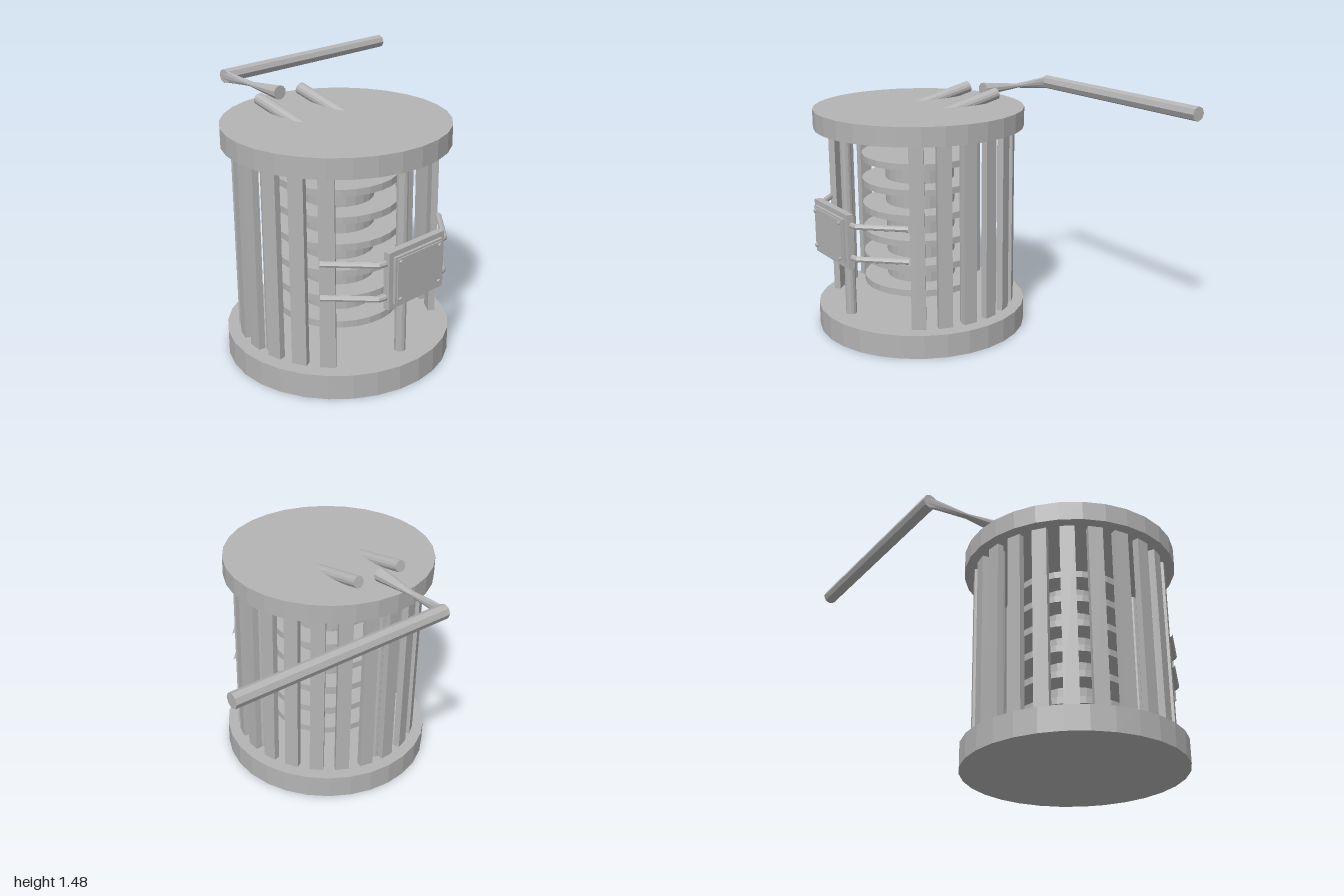
import * as THREE from 'three';

const CX = -0.35, CZ = 0.19; // cage axis

export function createModel() {
  const model = new THREE.Group();
  const grey = new THREE.MeshStandardMaterial({ color: 0xb4b4b4 });
  grey.flatShading = true;

  const add = (name, geometry, x = 0, y = 0, z = 0, parent = model) => {
    const mesh = new THREE.Mesh(geometry, grey);
    mesh.name = name;
    mesh.position.set(x, y, z);
    parent.add(mesh);
    return mesh;
  };
  const drum = (name, r, y0, y1, sides, x = CX, z = CZ) =>
    add(name, new THREE.CylinderGeometry(r, r, y1 - y0, sides), x, (y0 + y1) / 2, z);

  // Base and lid
  drum('base', 0.652, 0, 0.145, 30);
  drum('lid', 0.642, 1.265, 1.38, 30);

  // Central core with six discs
  drum('core', 0.213, 0.255, 1.09, 24);
  for (let i = 0; i < 6; i++) {
    const y = 0.295 + i * 0.157;
    drum('coreDisc', 0.357, y - 0.02, y + 0.02, 28);
  }

  // Four round posts between base and lid
  for (let i = 0; i < 4; i++) {
    const a = i * Math.PI / 2;
    drum('post', 0.033, 0.14, 1.27, 12, CX + 0.507 * Math.sin(a), CZ + 0.507 * Math.cos(a));
  }

  // Flat cage bars, leaving the front open
  const barGeometry = new THREE.BoxGeometry(0.086, 1.105, 0.04);
  for (let i = 0; i < 17; i++) {
    const a = THREE.MathUtils.degToRad(123 - i * 15.9); // measured from the back
    const bar = add('cageBar', barGeometry, CX + 0.563 * Math.sin(a), 0.7075, CZ - 0.563 * Math.cos(a));
    bar.rotation.y = -a;
  }

  // Front panel with a raised plate and corner rivets
  const panel = new THREE.Group();
  panel.name = 'frontPanel';
  panel.position.set(CX, 0.675, 0);
  model.add(panel);
  add('panelBack', new THREE.BoxGeometry(0.427, 0.33, 0.04), 0, 0, 0.79, panel);
  add('panelPlate', new THREE.BoxGeometry(0.364, 0.272, 0.016), 0, 0, 0.818, panel);
  add('panelFace', new THREE.BoxGeometry(0.34, 0.25, 0.008), 0, 0, 0.829, panel);
  for (const sx of [-1, 1]) {
    for (const sy of [-1, 1]) {
      const rivet = add('rivet', new THREE.CylinderGeometry(0.011, 0.011, 0.014, 10), sx * 0.152, sy * 0.108, 0.838, panel);
      rivet.rotation.x = Math.PI / 2;
    }
  }

  // Bent rods holding the panel to the cage
  const corners = [[-0.465, 0.55], [-0.25, 0.782], [0.25, 0.782], [0.465, 0.55]];
  for (const y of [0.777, 0.58]) {
    const path = new THREE.CurvePath();
    for (let i = 0; i < 3; i++) {
      const [p, q] = [corners[i], corners[i + 1]].map(c => new THREE.Vector3(CX + c[0], y, c[1]));
      path.add(new THREE.LineCurve3(p, q));
    }
    add('panelRod', new THREE.TubeGeometry(path, 40, 0.018, 8));
  }

  // Two slanted pegs half sunk in the lid
  const from = new THREE.Vector3(0, 1.305, 0.28), to = new THREE.Vector3(0, 1.432, -0.28);
  const along = to.clone().sub(from);
  for (const x of [-0.51, -0.197]) {
    const peg = add('lidPeg', new THREE.CylinderGeometry(0.036, 0.036, along.length(), 14),
      x, (from.y + to.y) / 2, (from.z + to.z) / 2);
    peg.quaternion.setFromUnitVectors(new THREE.Vector3(0, 1, 0), along.clone().normalize());
  }

  // Pinched crank neck: [z, half width, half height] sections
  const neck = new THREE.CylinderGeometry(1, 1, 1, 10, 8);
  const sections = [[-0.285, 0.045, 0.043], [-0.55, 0.02, 0.014], [-0.81, 0.012, 0.04]];
  const pos = neck.attributes.position;
  for (let i = 0; i < pos.count; i++) {
    const t = (0.5 - pos.getY(i)) * 2;
    const k = Math.min(1, Math.floor(t));
    const [z, w, h] = sections[k].map((v, j) => THREE.MathUtils.lerp(v, sections[k + 1][j], t - k));
    pos.setXYZ(i, CX + pos.getX(i) * w, 1.434 - pos.getZ(i) * h, z);
  }
  neck.computeVertexNormals();
  add('crankNeck', neck);

  // Long crank handle
  const handle = add('crankHandle', new THREE.CylinderGeometry(0.043, 0.043, 1.36, 8), 0.32, 1.436, -0.802);
  handle.rotation.z = Math.PI / 2;

  return model;
}
